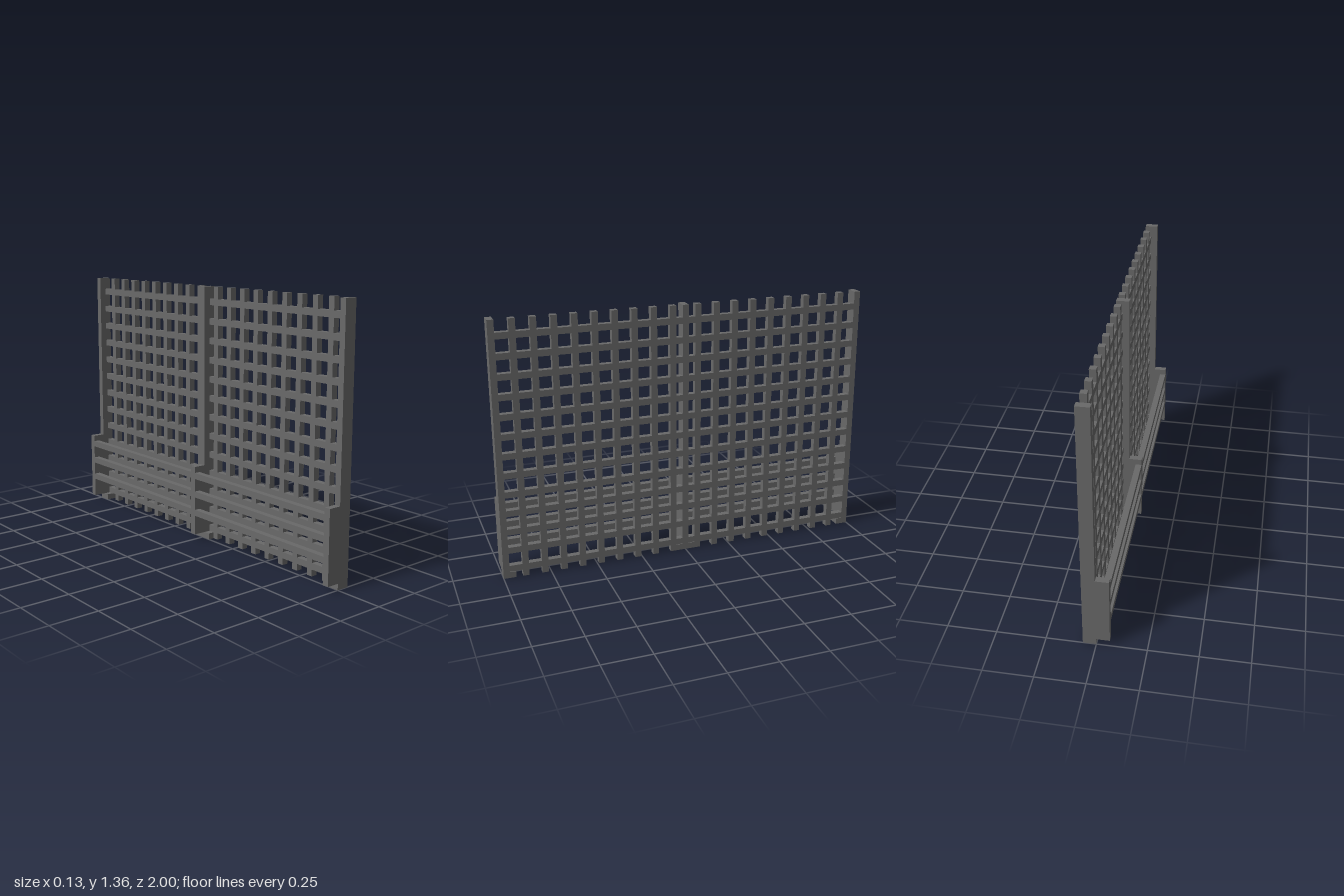
import * as THREE from 'three';
import { mergeGeometries } from 'three/addons/utils/BufferGeometryUtils.js';

const T = 0.033;        // timber thickness
const H = 1.36;         // overall height
const PITCH = 0.1023;   // lattice spacing
const X = 0.067;        // half depth

// Box from minimum and maximum corners
function block(x0, x1, y0, y1, z0, z1) {
  const g = new THREE.BoxGeometry(x1 - x0, y1 - y0, z1 - z0);
  return g.translate((x0 + x1) / 2, (y0 + y1) / 2, (z0 + z1) / 2);
}

export function createModel() {
  const model = new THREE.Group();
  const timber = new THREE.MeshStandardMaterial({ color: 0x696969 });
  timber.name = 'dark grey timber';

  const add = (name, parts) => {
    const mesh = new THREE.Mesh(mergeGeometries(parts), timber);
    mesh.name = name;
    model.add(mesh);
  };

  // Tall posts with short posts behind them, at both ends and the middle
  const postZ = [-1 + T / 2, 0, 1 - T / 2];
  add('tallPosts', postZ.map(z => block(0, X, 0, H, z - T / 2, z + T / 2)));
  add('shortPosts', postZ.map(z => block(-X, 0, T, 0.408, z - T / 2, z + T / 2)));

  // Upright lattice bars, mirrored about the middle post
  const barZ = [];
  for (let i = 1; i <= 9; i++) {
    const z = 1 - T / 2 - i * 0.1017;
    barZ.push(z, -z);
  }
  add('latticeUprights', barZ.map(z => block(X - T, X, 0, H, z - T / 2, z + T / 2)));

  // Lattice rails, cut to fit flush between the uprights
  const stops = [...barZ, ...postZ].sort((a, b) => a - b);
  const rails = [];
  for (let k = 0; k < 13; k++) {
    const y = 0.052 + k * PITCH;
    for (let i = 0; i < stops.length - 1; i++) {
      rails.push(block(X - T, X, y - T / 2, y + T / 2, stops[i] + T / 2, stops[i + 1] - T / 2));
    }
  }
  add('latticeRails', rails);

  // Low back slats, level with the lattice rails, and feet beside each post
  const slats = [], feet = [];
  for (const s of [-1, 1]) {
    const span = (a, b) => (s > 0 ? [a, b] : [-b, -a]);
    for (let k = 1; k <= 3; k++) {
      const y = 0.052 + k * PITCH;
      slats.push(block(-X, -X + T, y - T / 2, y + T / 2, ...span(T / 2, 1 - T)));
    }
    feet.push(block(0, X, 0, T, ...span(T / 2, 0.053)));
    feet.push(block(0, X, 0, T, ...span(1 - 2 * T, 1 - T)));
  }
  add('backSlats', slats);
  add('feet', feet);

  return model;
}
